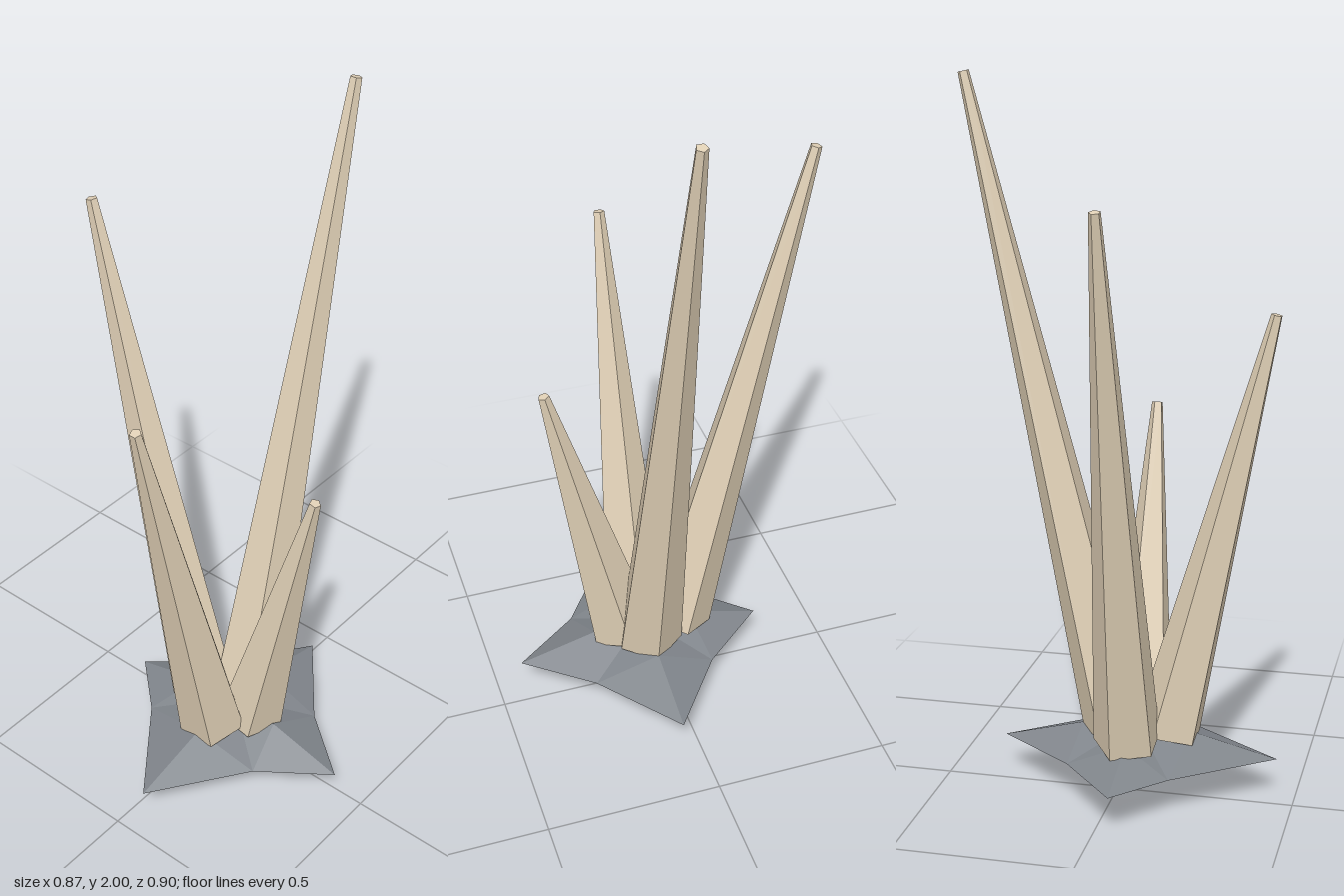
import * as THREE from 'three';

const CX = 0.055, CZ = 0.042;

// Four-pointed faceted rock: a flat star rim with shallow ridges above and below
function rockGeometry() {
  const rim = 0.11;
  // tip, then notch, going +x, +z, -x, -z
  const tips = [[0.433, CZ], [CX, 0.447], [-0.3, CZ], [CX, -0.345]];
  const notches = [[0.242, 0.182], [-0.153, 0.177], [-0.11, -0.12], [0.244, -0.108]];
  const lowRidge = [0.047, 0.063, 0.063, 0.047];
  const top = [CX, 0.185, CZ], bottom = [CX, 0, CZ];
  const ridge = ([x, z], y) => [CX + (x - CX) * 0.4, y, CZ + (z - CZ) * 0.4];
  const pos = [];
  const tri = (a, b, c) => pos.push(...a, ...b, ...c);
  tips.forEach((t, i) => {
    const tip = [t[0], rim, t[1]];
    const up = ridge(t, 0.17), low = ridge(t, lowRidge[i]);
    const next = notches[i], prev = notches[(i + 3) % 4];
    const n = [next[0], rim, next[1]], p = [prev[0], rim, prev[1]];
    tri(tip, up, n); tri(up, top, n);
    tri(tip, p, up); tri(up, p, top);
    tri(tip, n, low); tri(low, n, bottom);
    tri(tip, low, p); tri(low, bottom, p);
  });
  const g = new THREE.BufferGeometry();
  g.setAttribute('position', new THREE.Float32BufferAttribute(pos, 3));
  g.computeVertexNormals();
  return g;
}

// Tapered five-sided spike between two points, one edge facing back
function spike(name, from, to, material) {
  const a = new THREE.Vector3(...from), b = new THREE.Vector3(...to);
  const axis = b.clone().sub(a);
  const g = new THREE.CylinderGeometry(0.016, 0.098, axis.length(), 5);
  g.rotateY(Math.PI);
  const mesh = new THREE.Mesh(g, material);
  mesh.name = name;
  mesh.quaternion.setFromUnitVectors(new THREE.Vector3(0, 1, 0), axis.normalize());
  mesh.position.copy(a).add(b).multiplyScalar(0.5);
  return mesh;
}

export function createModel() {
  const group = new THREE.Group();
  group.name = 'spikeCluster';
  const stone = new THREE.MeshStandardMaterial({ color: 0x80858b, flatShading: true });
  const bone = new THREE.MeshStandardMaterial({ color: 0xe0d0b6, flatShading: true });

  const rock = new THREE.Mesh(rockGeometry(), stone);
  rock.name = 'rockBase';
  group.add(rock);

  // Spikes lean outward, each a different length
  group.add(
    spike('backSpike', [CX, 0.17, -0.015], [CX, 1.997, -0.435], bone),
    spike('rightSpike', [-0.055, 0.17, CZ], [-0.424, 1.687, CZ], bone),
    spike('frontSpike', [CX, 0.17, 0.138], [CX, 1.373, 0.42], bone),
    spike('leftSpike', [0.118, 0.17, CZ], [0.326, 1.06, CZ], bone),
  );
  return group;
}
